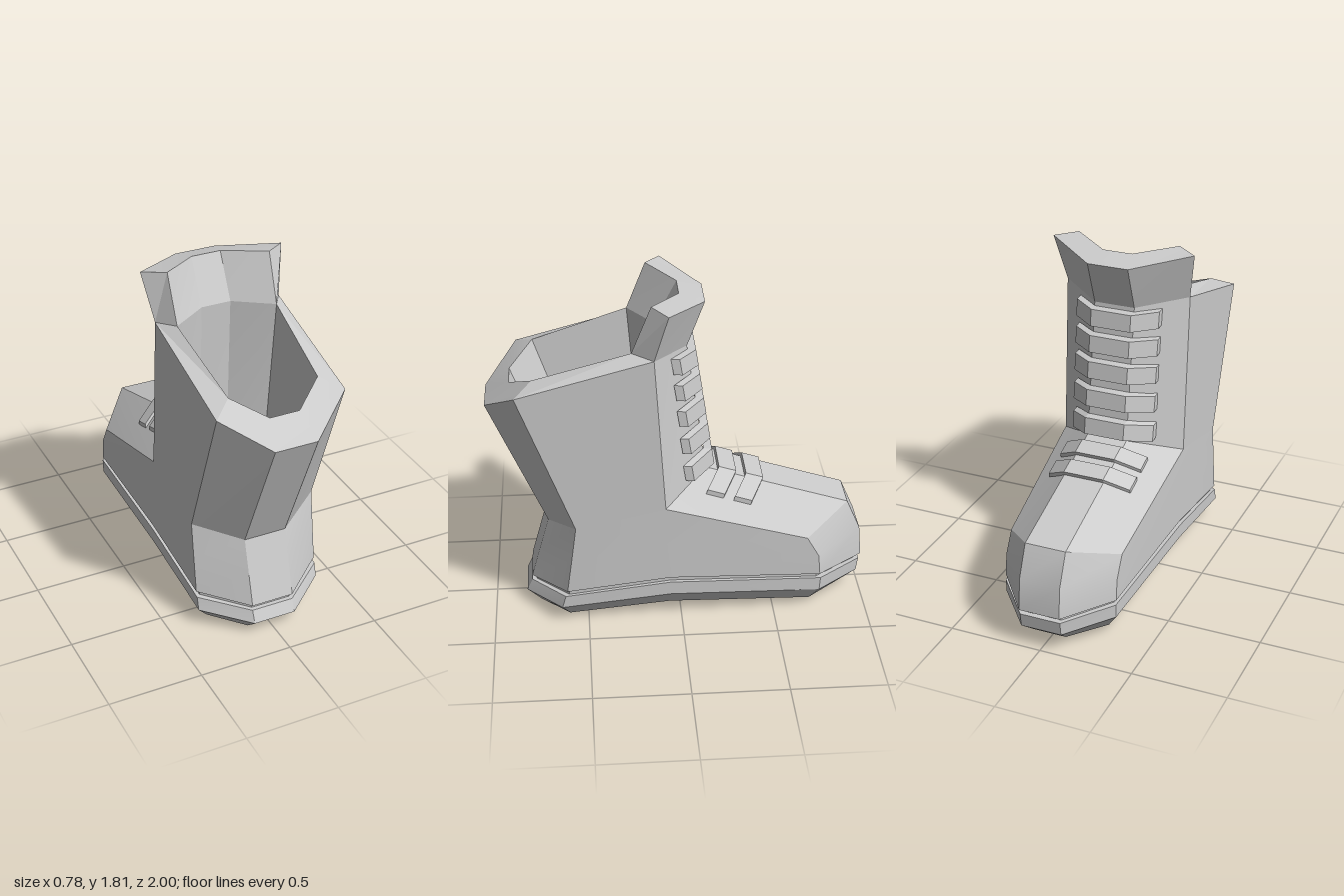
import * as THREE from 'three';
import { toCreasedNormals } from 'three/addons/utils/BufferGeometryUtils.js';

const material = new THREE.MeshStandardMaterial({ color: 0xcccccc });

const flip = ([x, y, z]) => [-x, y, z];
// Full loop from a left half that runs heel -> side -> toe
const mirror = (half) => [...half, ...half.slice().reverse().map(flip)];

function quad(out, a, b, c, d) {
  out.push(...a, ...b, ...c, ...a, ...c, ...d);
}

// Skin between successive rings of equal size
function loft(out, rings, closed = true) {
  for (let r = 0; r < rings.length - 1; r++) {
    const a = rings[r], b = rings[r + 1], n = a.length;
    for (let i = 0; i < (closed ? n : n - 1); i++) {
      const j = (i + 1) % n;
      quad(out, a[i], a[j], b[j], b[i]);
    }
  }
}

// Close a mirrored ring with strips running across x
function cap(out, half, up) {
  for (let i = 0; i < half.length - 1; i++) {
    const a = half[i], b = half[i + 1];
    if (up) quad(out, a, b, flip(b), flip(a));
    else quad(out, flip(a), flip(b), b, a);
  }
}

// Creased normals hide the diagonals of slightly twisted panels
function makeMesh(name, positions) {
  const geometry = new THREE.BufferGeometry();
  geometry.setAttribute('position', new THREE.Float32BufferAttribute(positions, 3));
  const mesh = new THREE.Mesh(toCreasedNormals(geometry, 0.35), material);
  mesh.name = name;
  return mesh;
}

// Sole: bevelled tread, vertical band, shallow groove under the upper
function makeSole() {
  const out = [];
  const tread = [[0.115, 0, 0.75], [0.28, 0.02, 0.6], [0.28, 0.07, 0.06], [0.25, 0.035, -0.7], [0.09, 0.03, -0.88]];
  const bevel = [[0.115, 0.07, 0.83], [0.345, 0.1, 0.64], [0.345, 0.16, 0.06], [0.31, 0.125, -0.745], [0.11, 0.11, -0.98]];
  const band = [[0.115, 0.135, 0.8], [0.345, 0.17, 0.62], [0.345, 0.235, 0.06], [0.31, 0.2, -0.75], [0.11, 0.185, -0.99]];
  const inset = band.map(([x, y, z]) => [x * 0.94, y, z * 0.97]);
  const insetTop = inset.map(([x, y, z]) => [x, y + 0.03, z]);
  cap(out, tread, false);
  loft(out, [tread, bevel, band, inset, insetTop].map(mirror));
  return makeMesh('sole', out);
}

const corner = [0.345, 0.69, 0.085], instep = [0.11, 0.8, -0.14];
const toeSide = [0.31, 0.455, -0.67], toeTip = [0.11, 0.555, -0.91];
const heelCrease = [[0.115, 0.515, 0.7], [0.345, 0.59, 0.555]];
const rim = [[0.115, 1.215, 1.0], [0.345, 1.36, 0.84], [0.345, 1.545, 0.14], [0.11, 1.515, -0.04]];
const innerRim = [[0.08, 1.325, 0.87], [0.24, 1.41, 0.75], [0.275, 1.56, 0.25], [0.08, 1.56, 0.12]];

// Foot: low wall around heel, sides and toe, with the top of the instep
function makeFoot() {
  const out = [];
  const base = [[0.115, 0.163, 0.8], [0.345, 0.2, 0.61], [0.345, 0.265, 0.06], [0.31, 0.225, -0.745], [0.11, 0.215, -1.0]];
  const under = base.map(([x, y, z]) => [x * 0.94, y, z * 0.97]);
  const middle = [[0.115, 0.34, 0.75], [0.345, 0.395, 0.582], [0.345, 0.478, 0.072], [0.31, 0.34, -0.735], [0.11, 0.385, -0.985]];
  const top = [...heelCrease, corner, toeSide, toeTip];
  loft(out, [under, base, middle, top].map(mirror));
  loft(out, [mirror([toeSide, toeTip]), mirror([corner, instep])], false);
  return makeMesh('foot', out);
}

// Shaft: outer wall, sloping rim and the hollow inside
function makeShaft() {
  const out = [];
  loft(out, [mirror([...heelCrease, corner, instep]), mirror(rim)]);
  // Rim runs around the back only; the cuff covers the front
  const aroundBack = (half) => [...half.slice(0, 3).reverse().map(flip), ...half.slice(0, 3)];
  loft(out, [aroundBack(rim), aroundBack(innerRim)], false);
  const ankle = [[0.08, 0.52, 0.58], [0.24, 0.6, 0.48], [0.26, 0.68, 0.18], [0.08, 0.7, 0.09]];
  const floor = [[0.08, 0.28, 0.66], [0.24, 0.28, 0.52], [0.26, 0.28, 0.16], [0.08, 0.28, 0.09]];
  loft(out, [innerRim, ankle, floor].map(mirror));
  cap(out, floor, true);
  return makeMesh('shaft', out);
}

// Cuff: flared collar standing on the front of the rim
function makeCuff() {
  const out = [];
  const outerTop = [[0.39, 1.8, 0.07], [0.11, 1.755, -0.13]];
  const innerTop = [[0.28, 1.81, 0.15], [0.08, 1.79, 0.0]];
  loft(out, [rim.slice(2), outerTop, innerTop, innerRim.slice(2)].map(mirror), false);
  // End faces
  const [a, b, c, d] = [rim[2], outerTop[0], innerTop[0], innerRim[2]];
  quad(out, d, a, b, c);
  quad(out, flip(c), flip(b), flip(a), flip(d));
  return makeMesh('cuff', out);
}

// Lace: a bar bent over the front; center and end are [y, z] on the surface,
// along is the bar's half width and thick its thickness, both as [y, z]
function makeLace(name, center, end, along, thick) {
  const section = (x, [y, z]) => [
    [x, y - along[0], z - along[1]],
    [x, y - along[0] + thick[0], z - along[1] + thick[1]],
    [x, y + along[0] + thick[0], z + along[1] + thick[1]],
    [x, y + along[0], z + along[1]],
  ];
  const sections = [section(-0.23, end), section(-0.11, center), section(0.11, center), section(0.23, end)];
  const out = [];
  loft(out, sections);
  quad(out, ...sections[0].slice().reverse());
  quad(out, ...sections[3]);
  return makeMesh(name, out);
}

function makeLaces() {
  const laces = new THREE.Group();
  laces.name = 'laces';
  const mix = THREE.MathUtils.lerp;
  // Five bars up the shaft
  [1.455, 1.307, 1.158, 0.998, 0.835].forEach((y, i) => {
    const zc = mix(-0.14, -0.04, (y - 0.8) / 0.715);
    const zs = mix(0.085, 0.14, (y - 0.69) / 0.855);
    const lift = mix(-0.005, 0.035, i / 4);
    laces.add(makeLace('shaftLace' + (i + 1), [y + lift, zc], [y, (zc + zs) / 2],
      [0.044, 0.007], [-0.004, -0.045]));
  });
  // Two bars over the instep
  [-0.25, -0.395].forEach((z, i) => {
    const y = 0.8 + (z + 0.14) * 0.318;
    laces.add(makeLace('instepLace' + (i + 1), [y - 0.005, z], [y - 0.075, z + 0.07],
      [0.015, 0.046], [0.025, -0.008]));
  });
  return laces;
}

export function createModel() {
  const boot = new THREE.Group();
  boot.name = 'boot';
  boot.add(makeSole(), makeFoot(), makeShaft(), makeCuff(), makeLaces());
  return boot;
}
